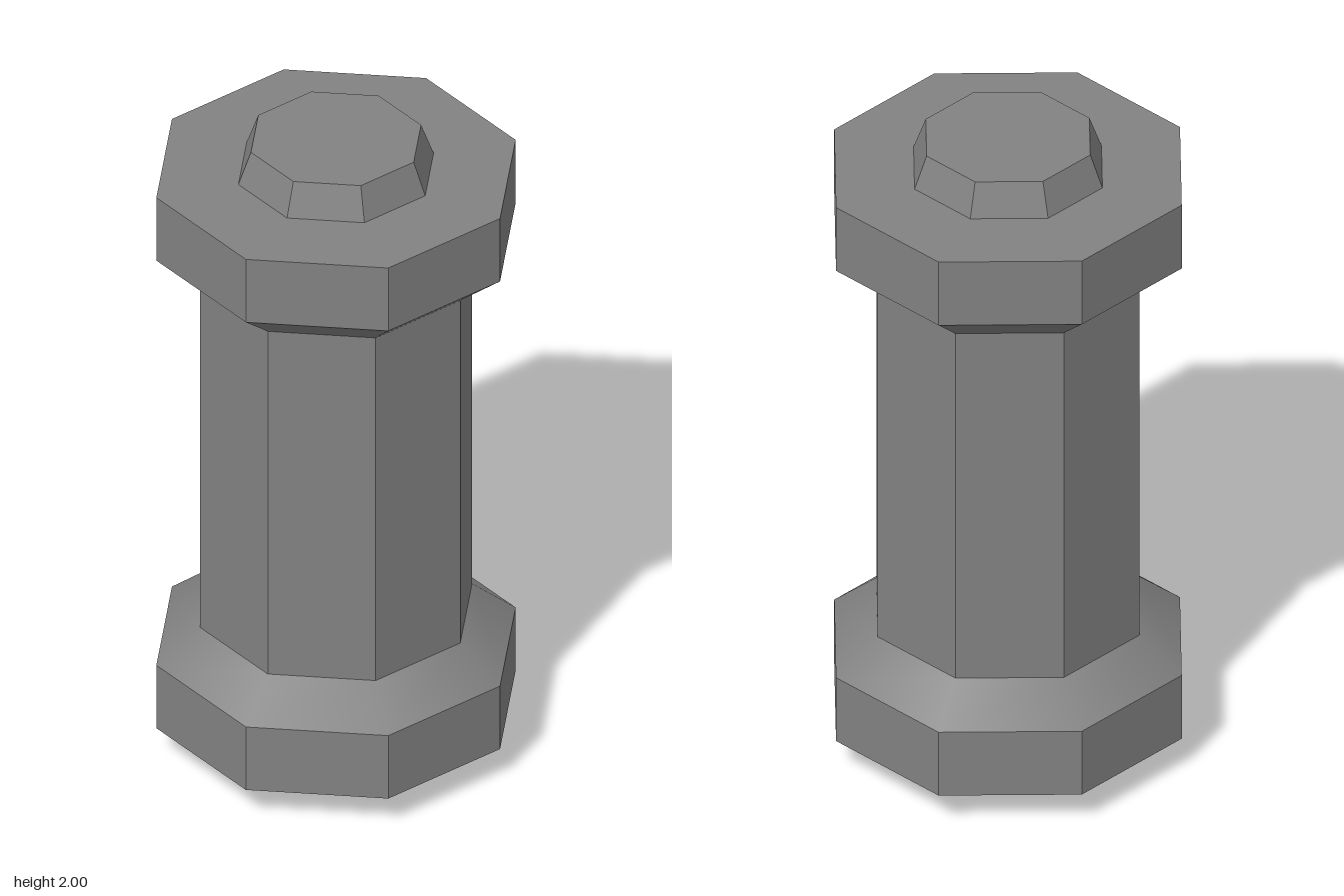
import * as THREE from 'three';

const SIDES = 8;
const HALF = 1;           // half of the total height
const BODY_R = 0.4, BODY_HALF = 0.58;
const FLANGE_R = 0.528, FLANGE_IN = 0.685, FLANGE_OUT = 0.898;
const BOSS_BASE_R = 0.287, BOSS_TIP_R = 0.25;

const flat = new THREE.MeshStandardMaterial({ color: 0x828282, flatShading: true });
const smooth = new THREE.MeshStandardMaterial({ color: 0x828282 });

// Faceted octagonal part; the profile runs from bottom to top as [radius, y]
function turned(name, profile) {
  const points = profile.map(([r, y]) => new THREE.Vector2(r, y));
  const mesh = new THREE.Mesh(new THREE.LatheGeometry(points, SIDES), flat);
  mesh.name = name;
  return mesh;
}

// One end of the post, pointing up
function createEnd(name) {
  const end = new THREE.Group();
  end.name = name;

  // Smooth-shaded flare from the shaft out to the flange
  const flare = new THREE.Mesh(
    new THREE.CylinderGeometry(FLANGE_R, BODY_R, FLANGE_IN - BODY_HALF, SIDES, 1, true),
    smooth,
  );
  flare.name = 'flare';
  flare.position.y = (FLANGE_IN + BODY_HALF) / 2;

  end.add(
    flare,
    // thick flange with its flat outer face
    turned('flange', [[FLANGE_R, FLANGE_IN], [FLANGE_R, FLANGE_OUT], [BOSS_BASE_R, FLANGE_OUT]]),
    // small tapered boss
    turned('boss', [[BOSS_BASE_R, FLANGE_OUT], [BOSS_TIP_R, HALF], [0, HALF]]),
  );
  return end;
}

export function createModel() {
  const model = new THREE.Group();
  model.name = 'flangedPost';

  // Faceted shaft between the two ends
  const shaft = turned('shaft', [[BODY_R, -BODY_HALF], [BODY_R, BODY_HALF]]);
  const topEnd = createEnd('topEnd');
  const bottomEnd = createEnd('bottomEnd');
  bottomEnd.rotation.x = Math.PI;

  for (const part of [shaft, topEnd, bottomEnd]) {
    part.position.y = HALF;
    model.add(part);
  }
  return model;
}
